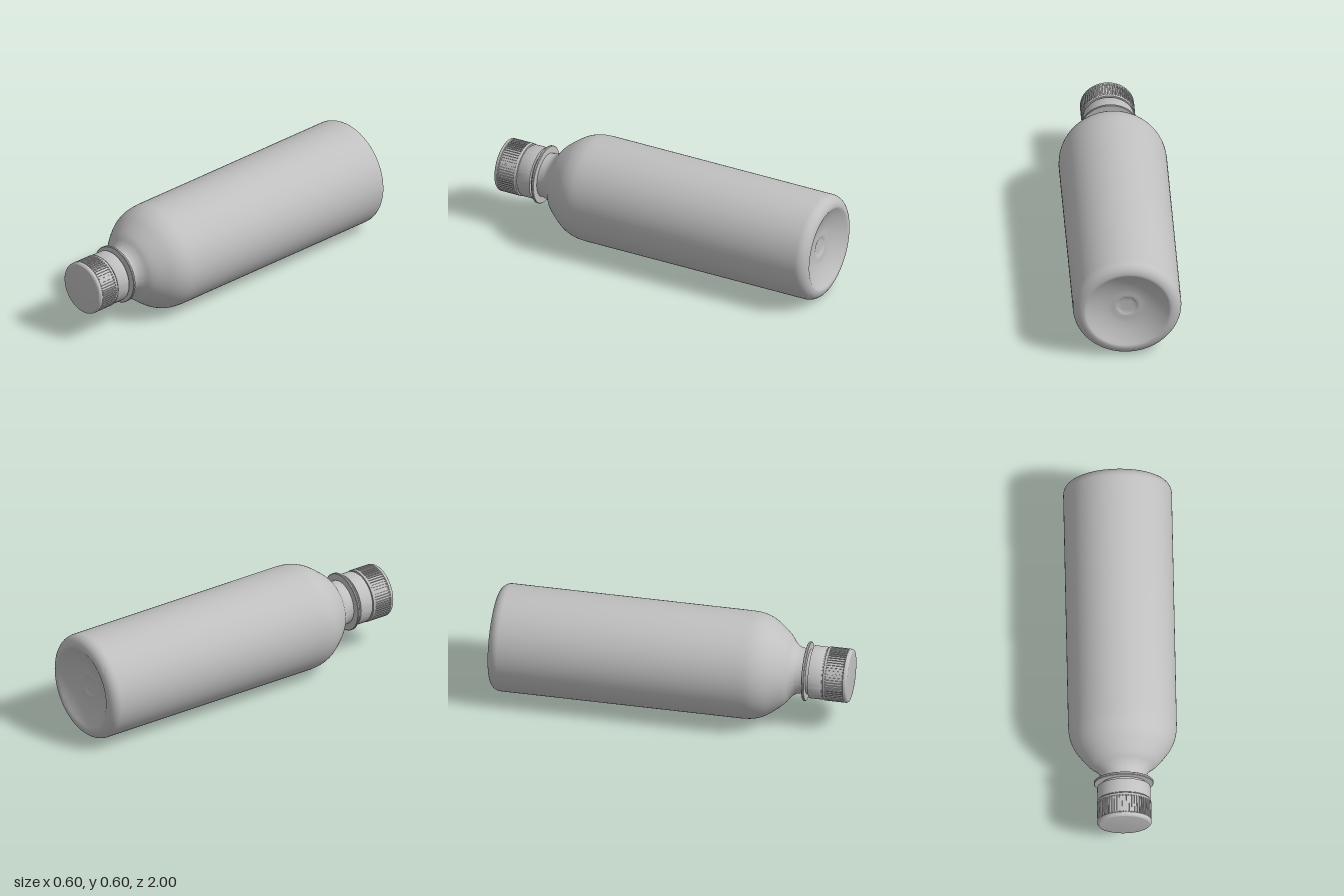
import * as THREE from 'three';
import { toCreasedNormals } from 'three/addons/utils/BufferGeometryUtils.js';

const SIDES = 96;
const v = (r, y) => new THREE.Vector2(r, y);

// Arc of a profile around (cr, cy)
function arc(cr, cy, radius, from, to, steps = 6) {
  return Array.from({ length: steps + 1 }, (_, i) => {
    const a = from + (to - from) * i / steps;
    return v(cr + radius * Math.cos(a), cy + radius * Math.sin(a));
  });
}

export function createModel() {
  const plastic = new THREE.MeshStandardMaterial({ color: 0xc0c0c0 });
  plastic.name = 'grey plastic';

  const model = new THREE.Group();
  model.name = 'bottle';
  // The bottle is turned around its own y axis, then laid down with the cap to the front
  const upright = new THREE.Group();
  upright.name = 'bottleAssembly';
  upright.rotation.x = Math.PI / 2;
  upright.position.y = 0.3;
  model.add(upright);

  function lathe(name, points, parent = upright) {
    const geometry = toCreasedNormals(new THREE.LatheGeometry(points, SIDES), 0.6);
    const mesh = new THREE.Mesh(geometry, plastic);
    mesh.name = name;
    parent.add(mesh);
    return mesh;
  }

  // Body: dished base, rounded rim, straight wall, domed shoulder and neck
  const dish = new THREE.SplineCurve([
    v(0, -0.94), v(0.045, -0.941), v(0.06, -0.946), v(0.1, -0.948),
    v(0.15, -0.96), v(0.2, -0.98), v(0.235, -0.999),
  ]).getPoints(20);
  const shoulder = new THREE.SplineCurve([
    v(0.3, 0.42), v(0.294, 0.48), v(0.272, 0.54), v(0.23, 0.6),
    v(0.19, 0.645), v(0.155, 0.672), v(0.133, 0.7), v(0.125, 0.73),
  ]).getPoints(32);
  lathe('body', [
    ...dish,
    ...arc(0.24, -0.94, 0.06, -Math.PI / 2, 0, 8),
    ...shoulder,
    v(0.125, 0.8),
  ]);

  // Neck support ring
  lathe('neckRing', [
    v(0.12, 0.745), v(0.162, 0.747), v(0.165, 0.75),
    v(0.165, 0.758), v(0.162, 0.761), v(0.12, 0.763),
  ]);

  // Tamper band below the cap
  lathe('tamperBand', [
    v(0.12, 0.78), v(0.147, 0.78), v(0.147, 0.85),
    v(0.143, 0.857), v(0.12, 0.857),
  ]);
  lathe('capBridge', [v(0.138, 0.85), v(0.138, 0.875)]);

  // Cap with a recessed grip zone between two plain edges
  const cap = new THREE.Group();
  cap.name = 'cap';
  upright.add(cap);
  lathe('capShell', [
    v(0.12, 0.863), v(0.148, 0.863), v(0.15, 0.866), v(0.15, 0.877),
    v(0.144, 0.88), v(0.144, 0.972), v(0.15, 0.978),
    ...arc(0.136, 0.986, 0.014, 0, Math.PI / 2),
    v(0, 1),
  ], cap);

  // Grip ribs
  const RIBS = 60;
  const ribGeometry = new THREE.BoxGeometry(0.008, 0.1, 0.01);
  for (let i = 0; i < RIBS; i++) {
    const a = i / RIBS * Math.PI * 2;
    const rib = new THREE.Mesh(ribGeometry, plastic);
    rib.name = 'gripRib';
    rib.position.set(Math.sin(a) * 0.145, 0.926, Math.cos(a) * 0.145);
    rib.rotation.y = a;
    cap.add(rib);
  }

  return model;
}
